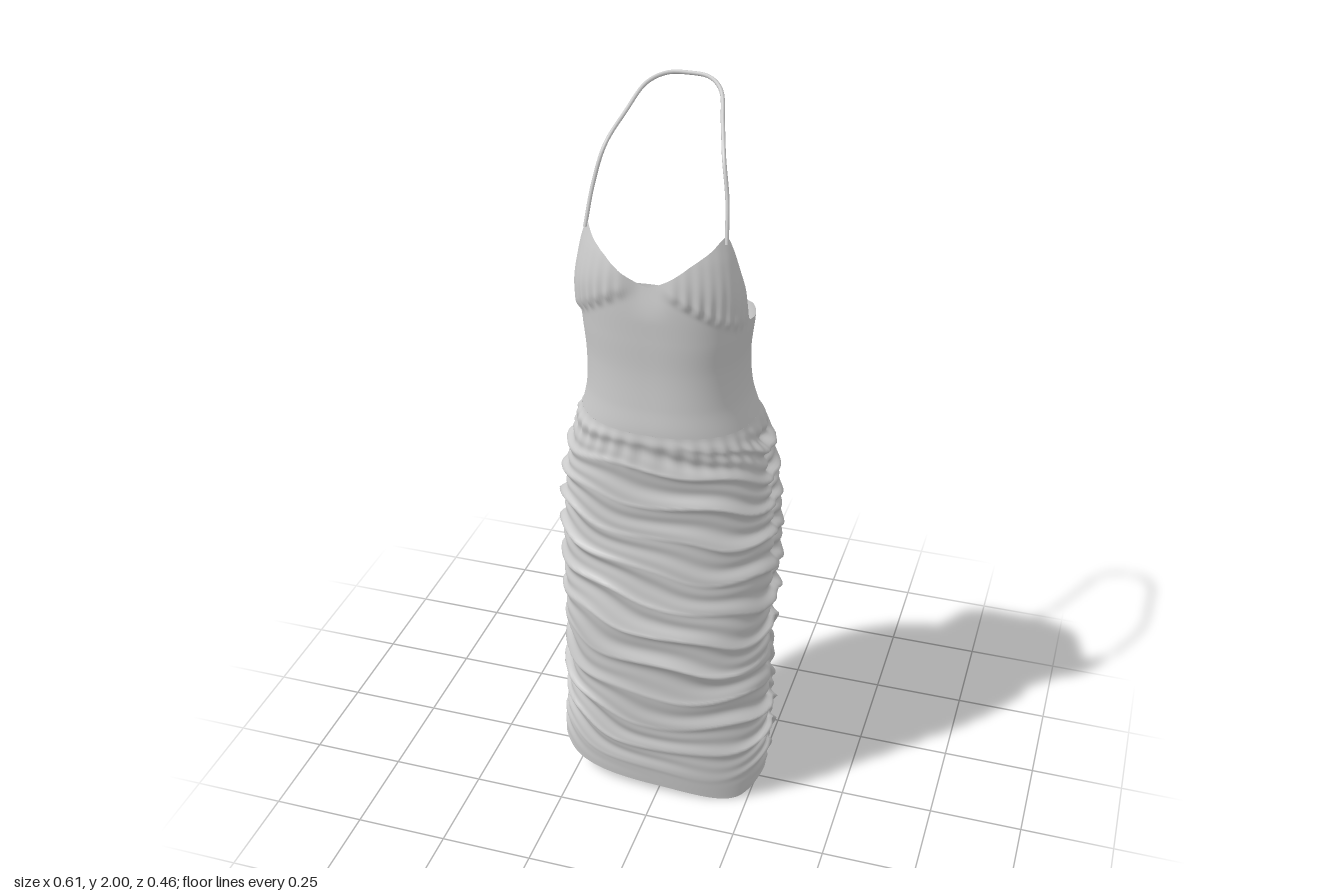
import * as THREE from 'three';

const material = new THREE.MeshStandardMaterial({ color: 0xcccccc, roughness: 0.8, side: THREE.DoubleSide });

// Smooth interpolation through rows [key, value, value, ...]
function sample(rows, t) {
  const last = rows.length - 1;
  let i = 0;
  while (i < last - 1 && t > rows[i + 1][0]) i++;
  const a = rows[i], b = rows[i + 1], p = rows[Math.max(i - 1, 0)], q = rows[Math.min(i + 2, last)];
  const h = b[0] - a[0];
  const u = THREE.MathUtils.clamp((t - a[0]) / h, 0, 1), u2 = u * u, u3 = u2 * u;
  return a.slice(1).map((va, k) => {
    const vb = b[k + 1];
    const ma = (vb - p[k + 1]) / (b[0] - p[0]) * h;
    const mb = (q[k + 1] - va) / (q[0] - a[0]) * h;
    return va * (2 * u3 - 3 * u2 + 1) + ma * (u3 - 2 * u2 + u) + vb * (3 * u2 - 2 * u3) + mb * (u3 - u2);
  });
}

// Body outline: height, right half-width, left half-width, front z, back z, roundness
const BODY = [
  [0.00, 0.29, 0.26, 0.14, -0.11, 2.5],
  [0.10, 0.30, 0.28, 0.155, -0.115, 2.4],
  [0.25, 0.285, 0.29, 0.17, -0.125, 2.3],
  [0.45, 0.28, 0.285, 0.19, -0.125, 2.3],
  [0.60, 0.28, 0.285, 0.20, -0.135, 2.3],
  [0.70, 0.28, 0.29, 0.195, -0.165, 2.3],
  [0.80, 0.28, 0.29, 0.195, -0.222, 2.3],
  [0.90, 0.275, 0.285, 0.195, -0.236, 2.3],
  [1.00, 0.265, 0.275, 0.20, -0.225, 2.3],
  [1.10, 0.245, 0.26, 0.205, -0.19, 2.3],
  [1.20, 0.215, 0.23, 0.212, -0.135, 2.3],
  [1.27, 0.20, 0.21, 0.206, -0.115, 2.4],
  [1.36, 0.198, 0.203, 0.202, -0.112, 2.5],
  [1.45, 0.205, 0.21, 0.205, -0.135, 2.6],
  [1.56, 0.213, 0.213, 0.207, -0.13, 2.7],
  [1.65, 0.204, 0.204, 0.197, -0.12, 2.8],
  [1.72, 0.188, 0.188, 0.18, -0.12, 2.8],
];

// Neckline height by angle away from the centre front
const NECK = [[0, 1.59], [0.35, 1.65], [0.7, 1.685], [1.0, 1.71], [1.1, 1.69],
  [1.25, 1.6], [1.48, 1.475], [2.2, 1.45], [Math.PI, 1.43]];

// Hem height by signed angle, from back round the right, front and left
const HEM = [[-Math.PI, 0.05], [-2.2, 0.05], [-1.57, 0.13], [-0.9, 0.05], [0, 0.02],
  [0.9, 0.0], [1.57, 0.07], [2.2, 0.05], [Math.PI, 0.05]];

const WAIST = 1.2;
const DEPTH_CENTRE = 0.03;
const smooth = THREE.MathUtils.smoothstep;

// Point on the body at angle a (0 = front, +90 degrees = left) and height y, pushed out by d
function bodyPoint(a, y, d) {
  const [right, left, front, back, n] = sample(BODY, y);
  const s = Math.sin(a), c = Math.cos(a);
  const x = Math.sign(s) * Math.abs(s) ** (2 / n) * (s < 0 ? right : left);
  const z = Math.sign(c) * Math.abs(c) ** (2 / n) * (c < 0 ? DEPTH_CENTRE - back : front - DEPTH_CENTRE);
  return [x + s * d, y, DEPTH_CENTRE + z + c * d];
}

// Ruched folds which gather at the side seams and sag away from them
function skirtFolds(a, y) {
  const c = Math.cos(a), s = Math.sin(a);
  const away = Math.abs(Math.abs(a) - Math.PI / 2) / (Math.PI / 2);
  const sagShape = Math.sin(away * Math.PI / 2);
  const low = 1 - smooth(y, 0.15, 1.15);
  const sag = c > 0 ? -0.04 + 0.13 * low : 0.02 + 0.2 * low;
  const level = y + sag * sagShape + 0.022 * s + 0.01 * Math.sin(2.3 * a + 9 * y) + 0.008 * Math.sin(5 * a - 17 * y);
  const broad = 1 - 2 * Math.abs(Math.sin(level * Math.PI / 0.088)) ** 0.8;
  const fine = Math.sin(level * 2 * Math.PI / 0.047 + 3 * s + 2 * Math.sin(7 * y));
  const vary = 0.7 + 0.3 * Math.sin(3 * a + 13 * level);
  // The seat stays smooth
  const seat = smooth(-c, 0.1, 0.55) * smooth(y, 0.62, 0.8);
  const ends = smooth(y, 0.03, 0.2) * (1 - smooth(y, 1.13, WAIST));
  const gather = Math.exp(-away * 5);
  const folds = (0.0075 + 0.003 * gather) * broad * vary + (0.0015 + 0.006 * gather) * fine;
  const seam = -0.010 * Math.exp(-((away / 0.05) ** 2)) * smooth(y, 0.1, 0.25);
  const pleats = 0.003 * Math.sin(a * 34) * Math.exp(-(((y - 1.15) / 0.035) ** 2));
  return 0.005 * (1 - smooth(y, 1.17, WAIST)) + folds * ends * (1 - 0.93 * seat) + seam * (1 - smooth(y, 1.1, WAIST)) + pleats;
}

// Cups stand proud of a curved under-bust seam, with small gathers above it
function bustFolds(a, y) {
  const b = Math.abs(a);
  if (b > 1.5) return 0;
  const seamY = 1.46 + 0.12 * (1 - b / 1.4) ** 1.5 * (b < 1.4 ? 1 : 0) || 1.46;
  const up = y - seamY;
  const fade = 1 - smooth(b, 1.1, 1.5);
  const cup = 0.009 * smooth(up, -0.006, 0.03) * (1 - smooth(up, 0.06, 0.2)) * smooth(b, 0.02, 0.25);
  const gathers = up > 0
    ? 0.005 * Math.sin(b * 42 - up * 30 * (b - 0.6)) * smooth(up, 0, 0.02) * Math.exp(-up / 0.05) * smooth(b, 0.1, 0.3)
    : 0;
  const cleft = -0.008 * Math.exp(-((b / 0.12) ** 2)) * smooth(y, 1.5, 1.6);
  return (cup + gathers) * fade + cleft;
}

// Open tube of cloth between two edges given as functions of the angle
function clothTube(name, around, rows, bottom, top, push) {
  const positions = [], index = [];
  for (let j = 0; j <= rows; j++) {
    for (let i = 0; i < around; i++) {
      const a = -Math.PI + (2 * Math.PI * i) / around;
      const y = THREE.MathUtils.lerp(bottom(a), top(a), j / rows);
      positions.push(...bodyPoint(a, y, push(a, y)));
      if (j === rows) continue;
      const p = j * around + i, q = j * around + (i + 1) % around;
      index.push(p, q, p + around, q, q + around, p + around);
    }
  }
  const geometry = new THREE.BufferGeometry();
  geometry.setAttribute('position', new THREE.Float32BufferAttribute(positions, 3));
  geometry.setIndex(index);
  geometry.computeVertexNormals();
  const mesh = new THREE.Mesh(geometry, material);
  mesh.name = name;
  return mesh;
}

// Halter strap running from one cup point, behind the neck, to the other
function neckStrap() {
  const half = [[0.172, 1.695, 0.135], [0.162, 1.79, 0.1], [0.143, 1.875, 0.065],
    [0.118, 1.93, -0.01], [0.09, 1.978, -0.09], [0.05, 1.993, -0.128]];
  const points = [
    ...half.map(([x, y, z]) => new THREE.Vector3(x, y, z)),
    new THREE.Vector3(0, 1.995, -0.135),
    ...half.map(([x, y, z]) => new THREE.Vector3(-x, y, z)).reverse(),
  ];
  const mesh = new THREE.Mesh(new THREE.TubeGeometry(new THREE.CatmullRomCurve3(points), 80, 0.005, 8), material);
  mesh.name = 'neckStrap';
  return mesh;
}

export function createModel() {
  const dress = new THREE.Group();
  dress.name = 'halterDress';
  dress.add(
    clothTube('ruchedSkirt', 200, 220, (a) => sample(HEM, a)[0], () => WAIST, skirtFolds),
    clothTube('bodice', 240, 70, () => WAIST, (a) => sample(NECK, Math.abs(a))[0], bustFolds),
    neckStrap(),
  );
  return dress;
}
